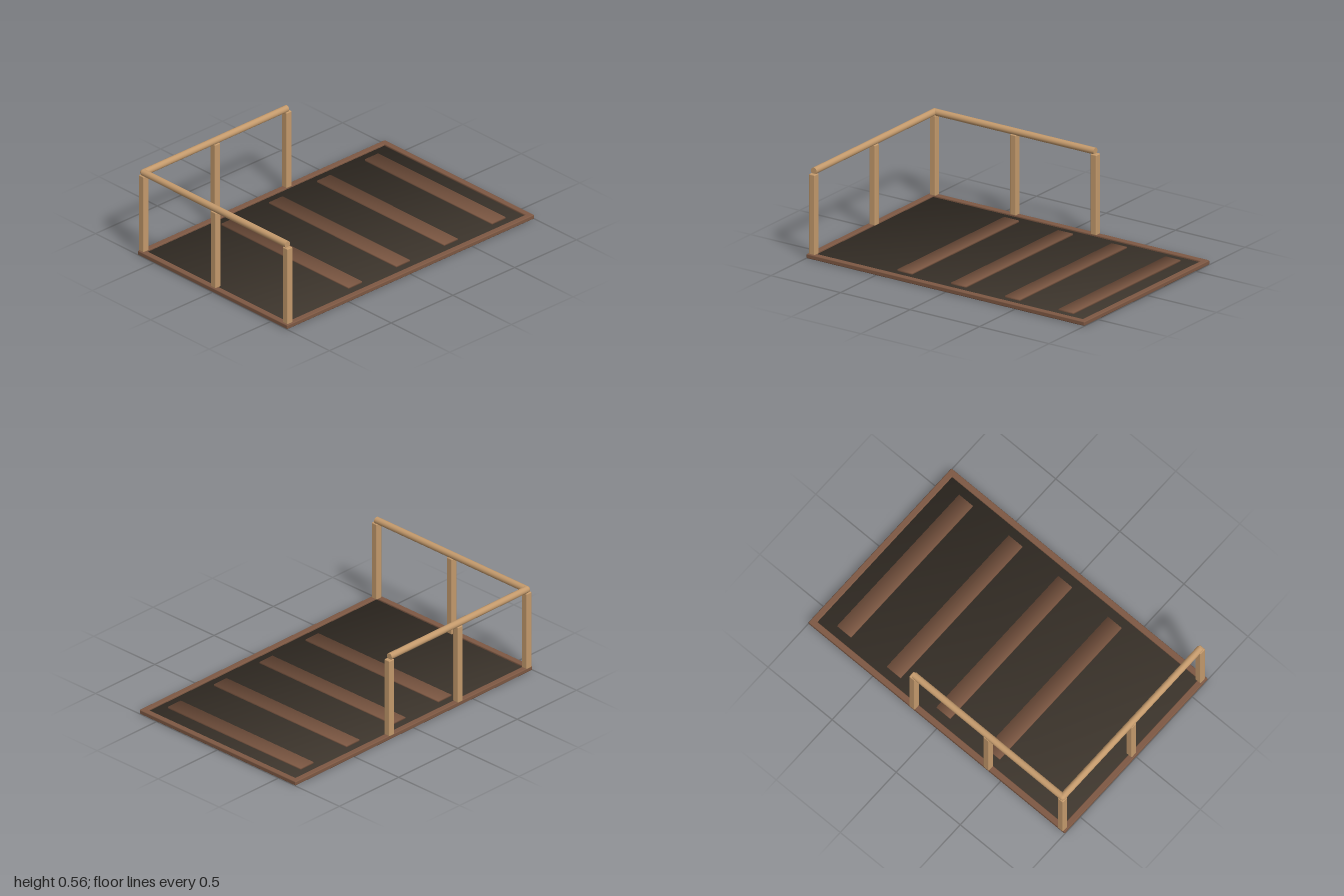
import * as THREE from 'three';
import { RoundedBoxGeometry } from 'three/addons/geometries/RoundedBoxGeometry.js';

const material = (name, color) => {
  const m = new THREE.MeshStandardMaterial({ color });
  m.name = name;
  return m;
};

// Box whose normals are shared at the corners, for a softly shaded surface
function softBox(w, h, d) {
  const geo = new THREE.BoxGeometry(w, h, d);
  const p = geo.attributes.position;
  const n = new THREE.Vector3();
  for (let i = 0; i < p.count; i++) {
    n.set(Math.sign(p.getX(i)), Math.sign(p.getY(i)), Math.sign(p.getZ(i))).normalize();
    geo.attributes.normal.setXYZ(i, n.x, n.y, n.z);
  }
  return geo;
}

export function createModel() {
  const model = new THREE.Group();
  model.name = 'railedPlatform';
  const tan = material('tanWood', 0xc49a6c);
  const brown = material('brownWood', 0x7d5843);
  const dark = material('darkPanel', 0x3f372e);

  const add = (name, geo, mat, x, y, z) => {
    const mesh = new THREE.Mesh(geo, mat);
    mesh.name = name;
    mesh.position.set(x, y, z);
    model.add(mesh);
    return mesh;
  };

  // Floor panel set inside a raised border
  add('floorPanel', softBox(1.22, 0.014, 1.94), dark, 0, 0.01, 0);
  for (const s of [-1, 1]) {
    add('sideBorder', new RoundedBoxGeometry(0.038, 0.028, 2, 2, 0.006), brown, s * 0.621, 0.014, 0);
    add('endBorder', new RoundedBoxGeometry(1.28, 0.028, 0.038, 2, 0.006), brown, 0, 0.014, s * 0.981);
  }

  // Cross slats on the floor
  for (let i = 0; i < 4; i++) {
    add('crossSlat', softBox(1.09, 0.014, 0.108), brown, 0, 0.02, -0.803 + i * 0.387);
  }

  // Railing posts along the front and the right side
  const left = 0.609, right = -0.622, front = 0.968, back = -0.19;
  const posts = [
    [right, front], [(left + right) / 2, front], [left, front],
    [right, (front + back) / 2], [right, back],
  ];
  for (const [x, z] of posts) {
    add('railPost', new RoundedBoxGeometry(0.043, 0.505, 0.043, 2, 0.006), tan, x, 0.276, z);
  }

  // Round handrails meeting at a ball corner
  const r = 0.021, railY = 0.544;
  const frontRail = add('frontHandrail', new THREE.CylinderGeometry(r, r, left - right, 16),
    tan, (left + right) / 2, railY, front);
  frontRail.rotation.z = Math.PI / 2;
  const sideRail = add('sideHandrail', new THREE.CylinderGeometry(r, r, front - back, 16),
    tan, right, railY, (front + back) / 2);
  sideRail.rotation.x = Math.PI / 2;
  add('handrailCorner', new THREE.SphereGeometry(r, 16, 12), tan, right, railY, front);

  return model;
}
